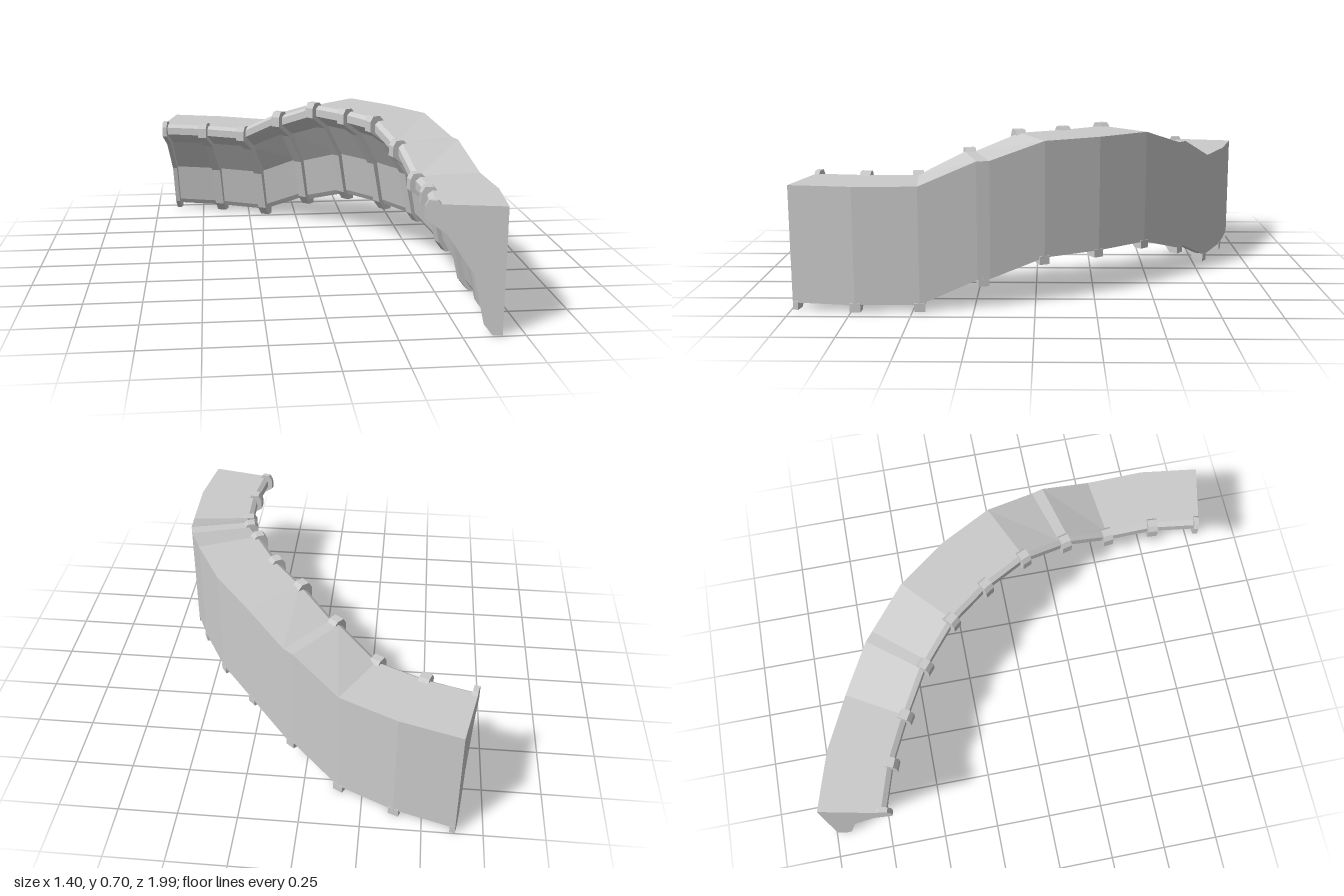
import * as THREE from 'three';

// Quarter-circle ramp wall: arc centre, station angles and height of each station
const CX = -0.985, CZ = 0.645;
const LIFT = [0, 0, 0, 0.095, 0.165, 0.165, 0.165, 0.095, 0, 0, 0];
const RIB_WIDTH = 0.045;
const angleAt = i => THREE.MathUtils.degToRad(-78 + 9 * i);

// Cross-sections as [radius, height], counter-clockwise
const WALL = [
  [1.64, 0.03], [1.68, 0.03], [1.68, 0.52], [1.41, 0.52], [1.39, 0.505],
  [1.39, 0.47], [1.48, 0.41], [1.585, 0.25], [1.625, 0.055],
];
const RIB = [
  [1.64, 0], [1.68, 0], [1.68, 0.035], [1.65, 0.1], [1.62, 0.25], [1.5, 0.44],
  [1.415, 0.535], [1.38, 0.535], [1.365, 0.51], [1.365, 0.463],
  [1.455, 0.4], [1.56, 0.245], [1.605, 0.045],
];

// Sweep the wall section along the stations, closing both ends
function sweepWall() {
  const stations = [];
  LIFT.forEach((lift, i) => {
    // half-way landings on the slopes stay level across one rib width
    const spread = i === 3 || i === 7 ? [-0.016, 0.016] : [0];
    spread.forEach(d => stations.push({ a: angleAt(i) + d, lift }));
  });
  const rings = stations.map(({ a, lift }) => WALL.map(([r, y]) =>
    [CX + r * Math.cos(a), y + lift, CZ + r * Math.sin(a)]));
  const pos = [];
  const tri = (a, b, c) => pos.push(...a, ...b, ...c);
  const n = WALL.length;
  for (let s = 0; s < rings.length - 1; s++) {
    const A = rings[s], B = rings[s + 1];
    for (let k = 0; k < n; k++) {
      const m = (k + 1) % n;
      tri(A[k], A[m], B[m]);
      tri(A[k], B[m], B[k]);
    }
  }
  const first = rings[0], last = rings[rings.length - 1];
  const outline = WALL.map(p => new THREE.Vector2(...p));
  for (const [a, b, c] of THREE.ShapeUtils.triangulateShape(outline, [])) {
    tri(last[a], last[b], last[c]);
    tri(first[a], first[c], first[b]);
  }
  const geo = new THREE.BufferGeometry();
  geo.setAttribute('position', new THREE.Float32BufferAttribute(pos, 3));
  geo.computeVertexNormals();
  return geo;
}

export function createModel() {
  const model = new THREE.Group();
  model.name = 'curvedRampWall';
  const material = new THREE.MeshStandardMaterial({ color: 0xcccccc, flatShading: true });

  const wall = new THREE.Mesh(sweepWall(), material);
  wall.name = 'wall';
  model.add(wall);

  // Ribs over the concave face, half as wide at both ends
  const ribs = new THREE.Group();
  ribs.name = 'ribs';
  const shape = new THREE.Shape(RIB.map(p => new THREE.Vector2(...p)));
  const lastRib = LIFT.length - 1;
  LIFT.forEach((lift, i) => {
    const start = i === 0 ? 0 : -RIB_WIDTH / 2;
    const end = i === lastRib ? 0 : RIB_WIDTH / 2;
    const geo = new THREE.ExtrudeGeometry(shape, { depth: end - start, bevelEnabled: false });
    geo.translate(0, 0, start);
    const rib = new THREE.Mesh(geo, material);
    rib.name = 'rib' + (i + 1);
    rib.position.set(CX, lift, CZ);
    rib.rotation.y = -angleAt(i);
    ribs.add(rib);
  });
  model.add(ribs);
  return model;
}
